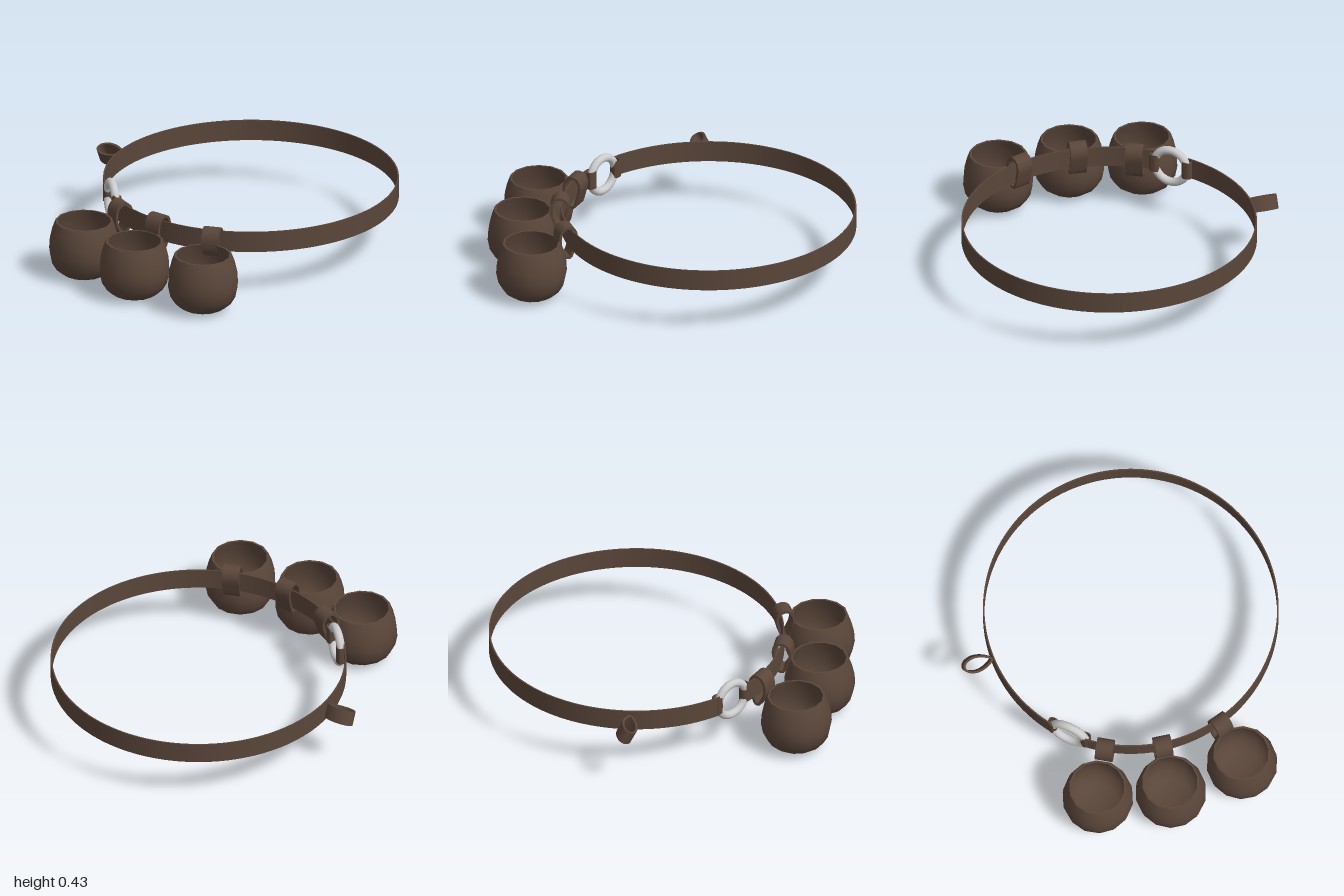
import * as THREE from 'three';
import { toCreasedNormals } from 'three/addons/utils/BufferGeometryUtils.js';

const leather = new THREE.MeshStandardMaterial({ color: 0x5a463a, side: THREE.DoubleSide });
const metal = new THREE.MeshStandardMaterial({ color: 0xcccccc });
const CX = 0.19, CZ = -0.145, R = 0.805; // belt centre and radius
const BELT_Y = 0.26, BELT_H = 0.117, T = 0.008;

function mesh(name, geometry, material = leather) {
  const m = new THREE.Mesh(geometry, material);
  m.name = name;
  return m;
}

// Extrudes a shape, centred on its depth, with smooth curves and sharp edges
function slab(shape, depth, curveSegments = 12) {
  const g = new THREE.ExtrudeGeometry(shape, { depth, bevelEnabled: false, curveSegments });
  g.translate(0, 0, -depth / 2);
  return toCreasedNormals(g, 0.7);
}

// Closed band of leather following a smooth loop of points in the xy plane
function bandLoop(points, width, thickness) {
  const curve = new THREE.CatmullRomCurve3(points.map(([x, y]) => new THREE.Vector3(x, y, 0)), true);
  const outer = [], inner = [];
  for (let i = 0; i < 28; i++) {
    const p = curve.getPoint(i / 28), t = curve.getTangent(i / 28);
    outer.push(new THREE.Vector2(p.x, p.y));
    inner.push(new THREE.Vector2(p.x - t.y * thickness, p.y + t.x * thickness));
  }
  const shape = new THREE.Shape(outer);
  shape.holes.push(new THREE.Path(inner));
  return slab(shape, width);
}

// Open round pouch: outer wall, rim, then hollow inside
function pouchGeometry() {
  const outer = [[0, 0], [0.06, 0.003], [0.115, 0.016], [0.155, 0.045], [0.182, 0.09],
    [0.194, 0.15], [0.19, 0.21], [0.176, 0.27], [0.158, 0.32]];
  const inside = [[0.146, 0.32], [0.164, 0.26], [0.176, 0.2], [0.176, 0.14],
    [0.16, 0.08], [0.12, 0.04], [0, 0.025]];
  const pts = [...outer, ...inside].map(([x, y]) => new THREE.Vector2(x, y));
  return toCreasedNormals(new THREE.LatheGeometry(pts, 14), 0.9);
}

export function createModel() {
  const model = new THREE.Group();
  model.name = 'pouchBelt';

  // Belt band, open where the metal ring sits
  const gap = 0.125;
  const arc = new THREE.Shape();
  arc.absarc(0, 0, R, -Math.PI + gap, Math.PI - gap, false);
  arc.absarc(0, 0, R - T, Math.PI - gap, -Math.PI + gap, true);
  const belt = mesh('beltBand', slab(arc, BELT_H, 96));
  belt.rotation.x = -Math.PI / 2;
  belt.position.set(CX, BELT_Y + BELT_H / 2, CZ);
  model.add(belt);

  // Metal ring
  const ring = mesh('metalRing', new THREE.TorusGeometry(0.097, 0.023, 14, 40), metal);
  ring.rotation.y = Math.PI / 2;
  ring.position.set(-0.59, 0.313, CZ);
  model.add(ring);

  // Belt ends folded round the ring
  for (const s of [-1, 1]) {
    const end = mesh('beltEndLoop', bandLoop(
      [[0.028, 0], [0.018, 0.028], [-0.014, 0.026], [-0.027, 0], [-0.014, -0.022], [0.018, -0.022]],
      BELT_H * 0.85, 0.006));
    end.rotation.x = -Math.PI / 2;
    end.position.set(-0.588, BELT_Y + BELT_H / 2, CZ + s * 0.098);
    model.add(end);
  }

  // Three pouches, each hung from the belt by a strap
  const pouchGeo = pouchGeometry();
  const strapGeo = bandLoop([[0.052, 0.3], [0.045, 0.37], [0.01, 0.402], [-0.035, 0.392],
    [-0.055, 0.35], [-0.042, 0.28], [-0.018, 0.215], [0.012, 0.215], [0.034, 0.25]], 0.095, 0.015);
  [[15.4, 1.037, 0.814, -0.01], [37.8, 1.014, 0.812, 0.012], [61.7, 1.022, 0.826, 0]].forEach(
    ([degrees, pouchR, strapR, lift], i) => {
      const hanger = new THREE.Group();
      hanger.name = `hangingPouch${i + 1}`;
      const pouch = mesh('pouch', pouchGeo);
      pouch.position.x = pouchR;
      const strap = mesh('pouchStrap', strapGeo);
      strap.position.set(strapR, lift, 0);
      hanger.add(pouch, strap);
      hanger.position.set(CX, 0, CZ);
      hanger.rotation.y = THREE.MathUtils.degToRad(degrees) - Math.PI;
      model.add(hanger);
    });

  // Spare loop on the back of the belt, rolled slightly to one side
  const loopGeo = bandLoop([[0, 0], [0.05, -0.036], [0.11, -0.046], [0.158, -0.028],
    [0.172, 0], [0.158, 0.028], [0.11, 0.046], [0.05, 0.036]], 0.08, 0.012);
  loopGeo.rotateX(-Math.PI / 2);
  const spare = new THREE.Group();
  spare.name = 'spareLoop';
  const loop = mesh('loopBand', loopGeo);
  loop.rotation.x = -0.45;
  loop.position.set(R - 0.005, 0.312, 0);
  spare.add(loop);
  spare.position.set(CX, 0, CZ);
  spare.rotation.y = Math.PI * 0.75;
  model.add(spare);

  return model;
}
